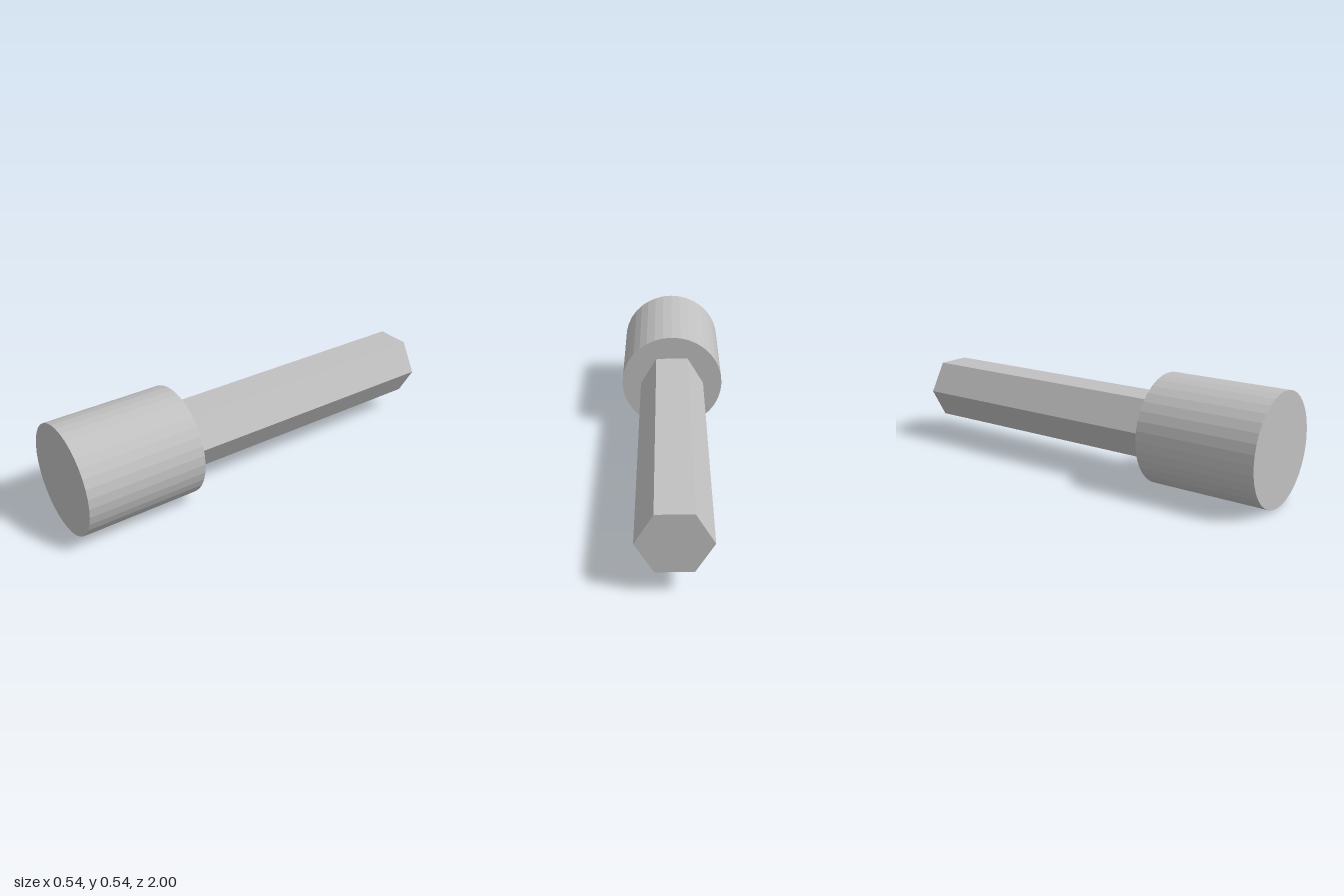
import * as THREE from 'three';

const AXIS_Y = 0.268;

// Prism lying along z, with a corner pointing towards +x
function prism(name, radius, sides, zBack, zFront, material) {
  const geometry = new THREE.CylinderGeometry(
    radius, radius, zFront - zBack, sides, 1, false, Math.PI / 2);
  geometry.rotateX(Math.PI / 2);
  const mesh = new THREE.Mesh(geometry.toNonIndexed(), material);
  mesh.geometry.computeVertexNormals(); // faceted sides
  mesh.position.set(0, AXIS_Y, (zBack + zFront) / 2);
  mesh.name = name;
  return mesh;
}

export function createModel() {
  const model = new THREE.Group();
  model.name = 'hexShankPin';

  const steel = new THREE.MeshStandardMaterial({ color: 0xc0c0c0 });
  steel.name = 'steel grey';

  // Round head at the front, hexagonal shank behind it
  model.add(prism('head', AXIS_Y, 36, 0.41, 1, steel));
  model.add(prism('hexShank', 0.168, 6, -1, 0.41, steel));
  return model;
}
